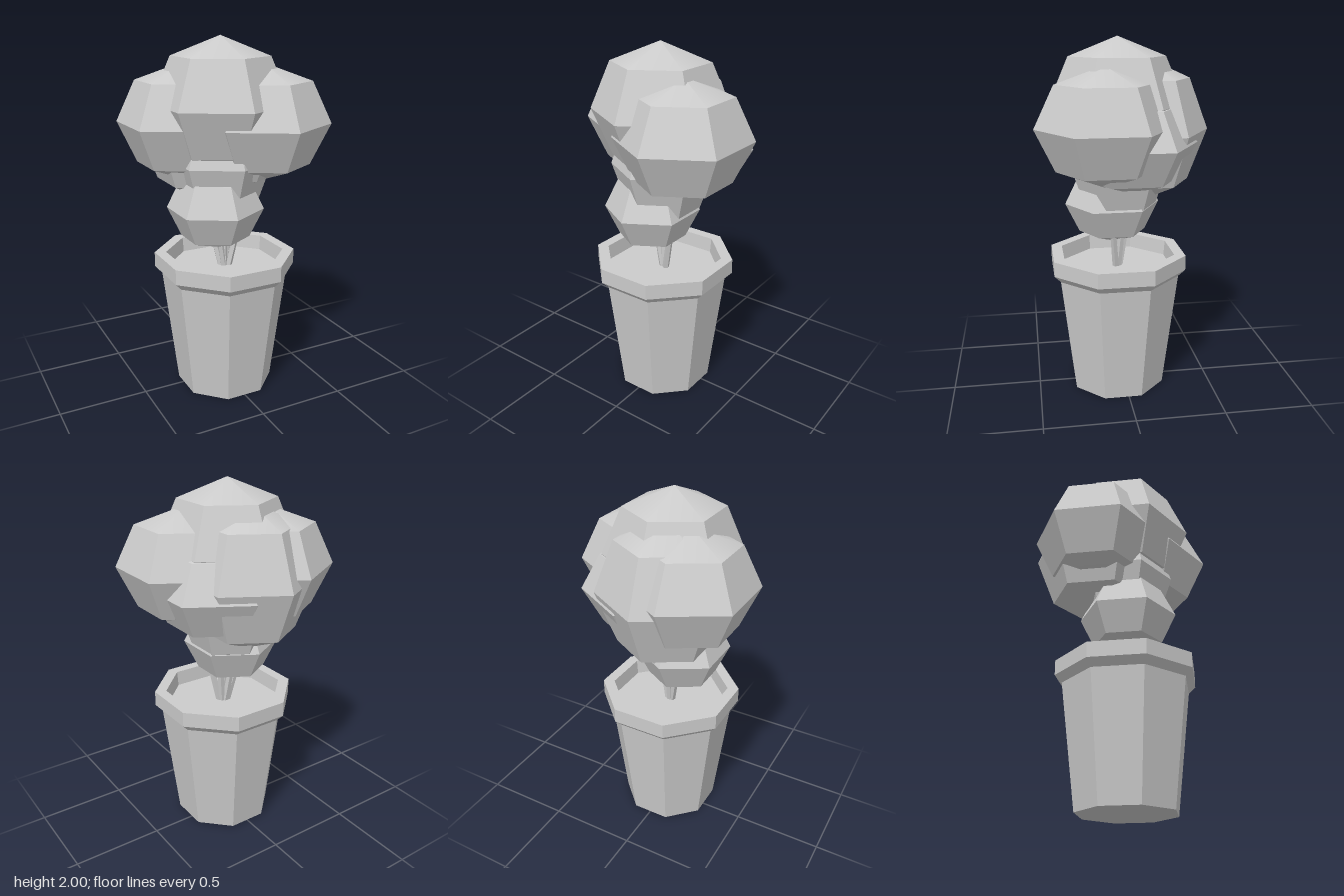
import * as THREE from 'three';
import { toCreasedNormals } from 'three/addons/utils/BufferGeometryUtils.js';

const POT_Z = 0.033;

// Foliage clumps: centre x, y, z, horizontal radius, vertical radius
const CLUMPS = [
  ['topFoliage', -0.025, 1.64, 0.025, 0.378, 0.36],
  ['frontLeftFoliage', 0.185, 1.54, 0.12, 0.37, 0.318],
  ['backRightFoliage', -0.19, 1.54, -0.107, 0.365, 0.318],
  ['backFoliage', -0.06, 1.49, -0.122, 0.373, 0.403],
  ['sideFoliage', 0.09, 1.44, -0.03, 0.37, 0.275],
  ['neckFoliage', -0.02, 1.33, 0.01, 0.29, 0.35],
  ['lowerFoliage', -0.07, 1.075, 0.05, 0.27, 0.23],
];

// Six-sided ball with crisp sides and softly shaded caps
function clump([name, x, y, z, r, ry], material) {
  const geo = new THREE.SphereGeometry(1, 6, 4);
  geo.rotateY(Math.PI / 6);
  geo.scale(r, ry, r);
  const mesh = new THREE.Mesh(toCreasedNormals(geo, Math.PI / 6), material);
  mesh.name = name;
  mesh.position.set(x, y, z);
  return mesh;
}

// Thin tapered rod between two points
function stem(from, to, material) {
  const dir = to.clone().sub(from);
  const geo = new THREE.CylinderGeometry(0.012, 0.02, dir.length(), 5);
  const mesh = new THREE.Mesh(geo, material);
  mesh.name = 'stem';
  mesh.position.copy(from).addScaledVector(dir, 0.5);
  mesh.quaternion.setFromUnitVectors(new THREE.Vector3(0, 1, 0), dir.normalize());
  return mesh;
}

export function createModel() {
  const model = new THREE.Group();
  model.name = 'pottedTree';
  const flat = new THREE.MeshStandardMaterial({ color: 0xcccccc, flatShading: true });
  const smooth = new THREE.MeshStandardMaterial({ color: 0xcccccc });

  // Octagonal pot with a flared rim and hollow top
  const profile = [
    [0, 0], [0.276, 0], [0.36, 0.68], [0.4, 0.72], [0.4, 0.805], [0.335, 0.805], [0.325, 0.7],
  ].map(([r, y]) => new THREE.Vector2(r, y));
  const pot = new THREE.Mesh(new THREE.LatheGeometry(profile, 8, Math.PI / 8), flat);
  pot.name = 'pot';
  pot.position.set(-0.002, 0, POT_Z);
  model.add(pot);

  // Soil surface
  const soil = new THREE.Mesh(new THREE.CircleGeometry(0.335, 8, Math.PI / 8), smooth);
  soil.name = 'soil';
  soil.rotation.x = -Math.PI / 2;
  soil.position.set(-0.002, 0.72, POT_Z);
  model.add(soil);

  // Stems fan out from the soil, one into each clump
  const stems = new THREE.Group();
  stems.name = 'stems';
  const foliage = new THREE.Group();
  foliage.name = 'foliage';
  for (const c of CLUMPS) {
    const centre = new THREE.Vector3(c[1], c[2], c[3]);
    const root = new THREE.Vector3(c[1] * 0.08, 0.7, POT_Z + (c[3] - POT_Z) * 0.08);
    stems.add(stem(root, centre, flat));
    foliage.add(clump(c, smooth));
  }
  model.add(stems, foliage);
  return model;
}
